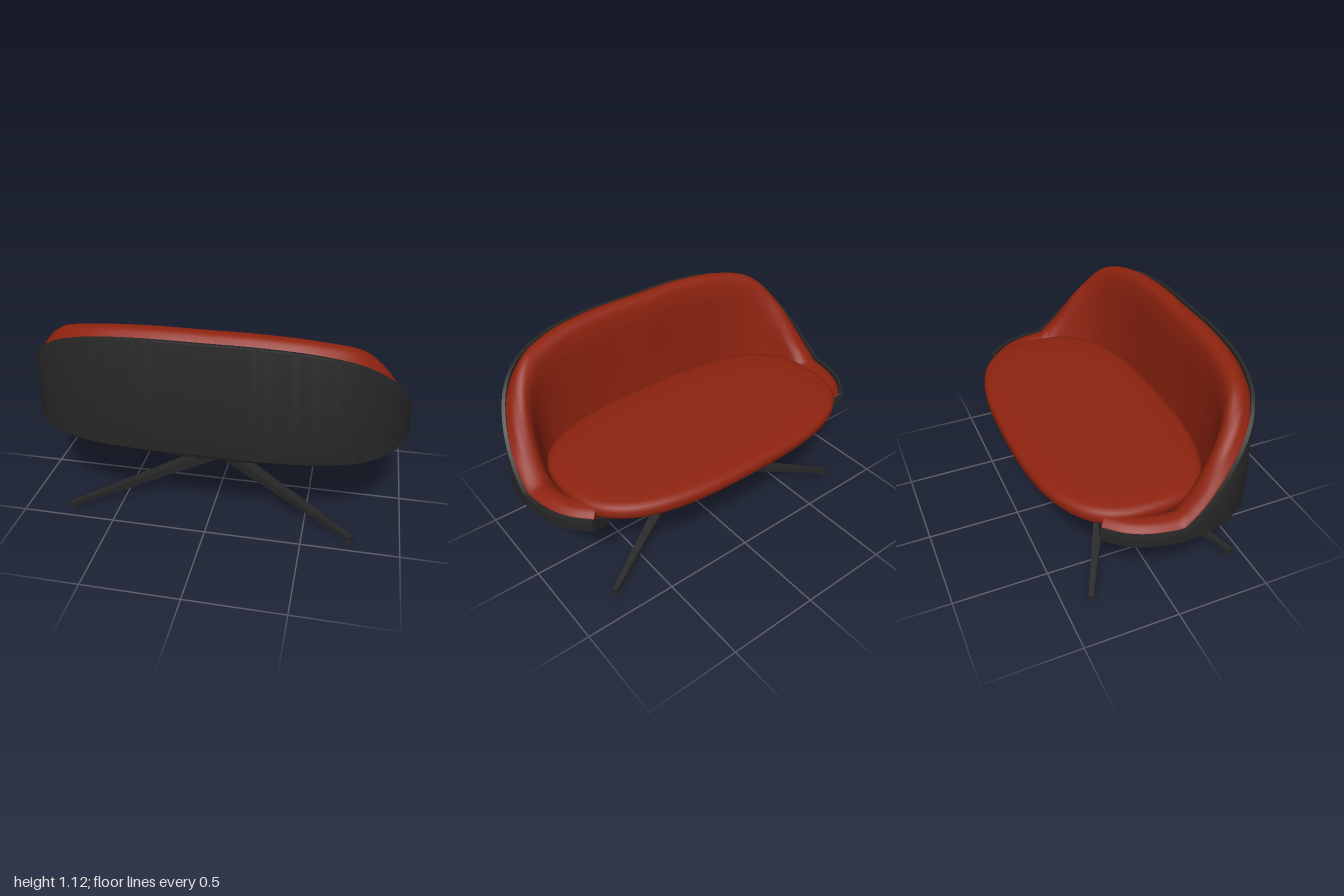
import * as THREE from 'three';
import { toCreasedNormals } from 'three/addons/utils/BufferGeometryUtils.js';

const red = new THREE.MeshStandardMaterial({ color: 0x8e230f, side: THREE.DoubleSide });
red.name = 'rust upholstery';
const black = new THREE.MeshStandardMaterial({ color: 0x262626, side: THREE.DoubleSide });
black.name = 'black shell and metal';

// Skin a list of closed rings, optionally closing both ends to their centres
function loft(rings, crease = 0.7, caps = true) {
  const all = rings.slice();
  if (caps) {
    const collapse = (ring) => {
      const c = ring.reduce((s, p) => s.add(p), new THREE.Vector3()).divideScalar(ring.length);
      return ring.map(() => c);
    };
    all.unshift(collapse(rings[0]));
    all.push(collapse(rings[rings.length - 1]));
  }
  const n = all[0].length, pos = [], idx = [];
  all.forEach((r) => r.forEach((p) => pos.push(p.x, p.y, p.z)));
  for (let i = 0; i < all.length - 1; i++) {
    for (let j = 0; j < n; j++) {
      const a = i * n + j, b = i * n + ((j + 1) % n), c = a + n, d = b + n;
      idx.push(a, c, b, b, c, d);
    }
  }
  const g = new THREE.BufferGeometry();
  g.setAttribute('position', new THREE.Float32BufferAttribute(pos, 3));
  g.setIndex(idx);
  return toCreasedNormals(g, crease);
}

// Rounded oblong slab; profile rows are [inset from the outline, height]
function slab(hx, hz, power, profile) {
  const n = 96;
  return loft(profile.map(([inset, y]) => Array.from({ length: n }, (_, j) => {
    const a = (j / n) * Math.PI * 2, c = Math.cos(a), s = Math.sin(a);
    return new THREE.Vector3(
      Math.sign(c) * Math.abs(c) ** (2 / power) * (hx - inset), y,
      Math.sign(s) * Math.abs(s) ** (2 / power) * (hz - inset));
  })), 0.9);
}

// Plan of the wrap-around shell, from the left arm end round the back to the right arm end
const half = [[0.84, -0.355], [0.91, -0.28], [0.96, -0.19], [0.99, -0.08], [1, 0.03], [0.985, 0.15],
  [0.945, 0.26], [0.87, 0.37], [0.75, 0.455], [0.56, 0.512], [0.3, 0.538]];
const plan = [...half, [0, 0.54], ...half.slice().reverse().map(([x, z]) => [-x, z])];
const curve = new THREE.CatmullRomCurve3(plan.map(([x, z]) => new THREE.Vector3(x, 0, z)), false, 'centripetal');

// Rim height: level along the arms, sloping up steadily to the back
const rimHeight = (z) => {
  if (z < 0) return 0.558;
  return z < 0.1 ? 0.558 + z * 0.82 : 0.64 + (z - 0.1) * 1.022;
};

// Place one cross-section at every station along the plan
function sweep(section) {
  const rings = [], n = 110;
  for (let i = 0; i <= n; i++) {
    const p = curve.getPointAt(i / n), t = curve.getTangentAt(i / n);
    const inward = new THREE.Vector3(t.z, 0, -t.x);
    if (inward.dot(new THREE.Vector3(-p.x, 0, -p.z)) < 0) inward.negate();
    // d: inset along the normal, s: scale towards the centre
    const at = (d, y, s = 1) => new THREE.Vector3((p.x + inward.x * d) * s, y, (p.z + inward.z * d) * s);
    rings.push(section(at, rimHeight(p.z), p));
  }
  return rings;
}

// Tapered four-sided bar running from the hub to a foot
function legGeometry(from, to) {
  const dir = to.clone().sub(from).setY(0).normalize();
  const side = new THREE.Vector3(-dir.z, 0, dir.x);
  const ring = (p, w, h) => [[-1, -1], [-1, 1], [1, 1], [1, -1]].map(([a, b]) =>
    p.clone().addScaledVector(side, (a * w) / 2).add(new THREE.Vector3(0, (b * h) / 2, 0)));
  return loft([ring(from, 0.075, 0.058), ring(to, 0.026, 0.024)], 0.3);
}

export function createModel() {
  const model = new THREE.Group();
  const add = (name, geometry, material, x = 0, y = 0, z = 0) => {
    const mesh = new THREE.Mesh(geometry, material);
    mesh.name = name;
    mesh.position.set(x, y, z);
    model.add(mesh);
    return mesh;
  };

  // Hard outer shell with a chamfered underside
  add('outerShell', loft(sweep((at, rim) => [
    at(0.002, rim), at(0, rim - 0.006), at(0, 0.54), at(0, 0.497), at(0, 0.488, 0.985), at(0, 0.462, 0.91),
    at(0, 0.432, 0.79), at(0, 0.43, 0.6), at(0, 0.45, 0.6), at(0, 0.455, 0.79),
    at(0.02, 0.51), at(0.02, rim),
  ])), black);

  // Padded lining, rolling over inside the shell rim
  add('backrestPad', loft(sweep((at, rim, p) => {
    const k = THREE.MathUtils.smoothstep(p.z, 0.08, 0.3);
    const rise = 0.022 + 0.036 * k * (1 - 0.75 * THREE.MathUtils.smoothstep(p.z, 0.42, 0.54));
    const face = (f) => THREE.MathUtils.lerp(0.5, rim, f);
    return [
      at(0.021, 0.5), at(0.021, rim - 0.015), at(0.035, rim - 0.004), at(0.048, rim + rise * 0.5),
      at(0.07, rim + rise * 0.85), at(0.1, rim + rise), at(0.125, rim + rise * 0.7), at(0.143, rim - 0.008),
      at(0.152, face(0.8)), at(0.162, face(0.5)), at(0.172, face(0.25)), at(0.185, 0.5),
    ];
  }), 1.1), red);

  // Seat cushion, projecting past the arms
  add('seatCushion', slab(0.84, 0.455, 2.75, [
    [0.1, 0.514], [0.04, 0.516], [0.012, 0.526], [0, 0.543], [0, 0.575], [0.012, 0.592],
    [0.04, 0.602], [0.12, 0.606], [0.25, 0.609],
  ]), red, 0, 0, -0.085);

  // Tilted mounting plate beneath the seat
  const plate = add('seatPlate', slab(0.77, 0.392, 2.5, [
    [0.035, -0.019], [0.01, -0.015], [0, -0.004], [0, 0.006], [0.012, 0.016], [0.05, 0.019],
  ]), black, 0, 0.424, 0.028);
  plate.rotation.x = 0.036;

  // Central column
  const hubZ = 0.037;
  add('column', new THREE.CylinderGeometry(0.044, 0.044, 0.2, 40), black, 0, 0.33, hubZ);

  // Four splayed legs with small glides
  for (const sx of [1, -1]) {
    for (const z of [0.437, -0.362]) {
      const end = new THREE.Vector3(sx * 0.755, 0.026, z);
      add('leg', legGeometry(new THREE.Vector3(0, 0.222, hubZ), end), black);
      add('glidePin', new THREE.CylinderGeometry(0.006, 0.006, 0.02, 12), black, sx * 0.745, 0.015, z);
      add('glide', new THREE.CylinderGeometry(0.015, 0.015, 0.009, 20), black, sx * 0.745, 0.0045, z);
    }
  }
  return model;
}
